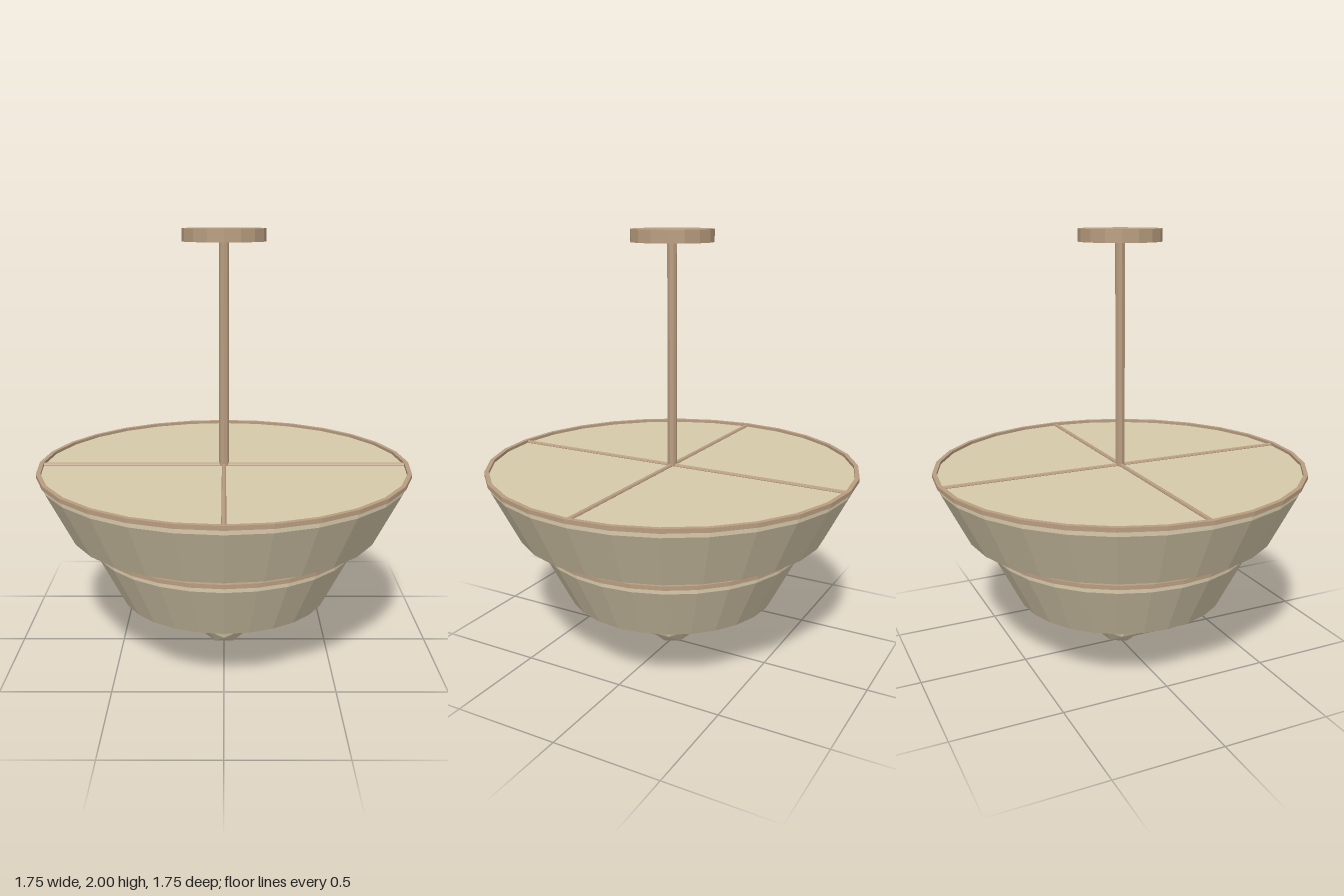
import * as THREE from 'three';

const SIDES = 28;

export function createModel() {
  const model = new THREE.Group();
  model.name = 'pendantLamp';

  const glass = new THREE.MeshStandardMaterial({ color: 0xd6c9ab });
  glass.name = 'cream glass';
  const bronze = new THREE.MeshStandardMaterial({ color: 0xb89d7f });
  bronze.name = 'light bronze';

  // Adds a faceted part
  function add(name, geometry, material, parent = model) {
    const flat = geometry.index ? geometry.toNonIndexed() : geometry;
    flat.computeVertexNormals();
    const mesh = new THREE.Mesh(flat, material);
    mesh.name = name;
    parent.add(mesh);
    return mesh;
  }

  const lathe = (points) =>
    new THREE.LatheGeometry(points.map(([r, y]) => new THREE.Vector2(r, y)), SIDES);

  // Thin rod between two points
  function rod(name, a, b, radius, parent) {
    const from = new THREE.Vector3(...a);
    const dir = new THREE.Vector3(...b).sub(from);
    const mesh = add(name, new THREE.CylinderGeometry(radius, radius, dir.length(), 8), bronze, parent);
    mesh.position.copy(from).addScaledVector(dir, 0.5);
    mesh.quaternion.setFromUnitVectors(new THREE.Vector3(0, 1, 0), dir.normalize());
  }

  // Tapered closed shade with a short upright lip, a metal rim and crossed bars
  function shade(name, rBottom, rTop, yBottom) {
    const tier = new THREE.Group();
    tier.name = name;
    model.add(tier);
    const yLip = yBottom + 0.252;
    const yTop = yBottom + 0.28;
    add('shadeBowl', lathe([[0, yBottom], [rBottom, yBottom], [rTop, yLip], [rTop, yTop], [0, yTop]]), glass, tier);

    const inner = rTop - 0.007, outer = rTop + 0.013;
    const low = yTop - 0.005, high = yTop + 0.014;
    add('rim', lathe([[inner, low], [outer, low], [outer, high], [inner, high], [inner, low]]), bronze, tier);

    rod('crossBarX', [-inner, yTop + 0.002, 0], [inner, yTop + 0.002, 0], 0.01, tier);
    rod('crossBarZ', [0, yTop + 0.002, -inner], [0, yTop + 0.002, inner], 0.01, tier);
  }

  shade('upperShade', 0.735, 0.86, 0.63);
  shade('lowerShade', 0.498, 0.625, 0.285);

  // Slanted struts carrying the lower shade
  for (let i = 0; i < 4; i++) {
    const s = Math.sin(i * Math.PI / 2), c = Math.cos(i * Math.PI / 2);
    rod('strut', [0.62 * s, 0.572, 0.62 * c], [0.42 * s, 0.665, 0.42 * c], 0.009, model);
  }

  // Ceiling canopy and stem
  add('canopy', new THREE.CylinderGeometry(0.188, 0.188, 0.057, 16), bronze).position.y = 1.9715;
  rod('stem', [0, 0.9, 0], [0, 1.95, 0], 0.023, model);

  // Faceted ball finial
  add('finial', new THREE.IcosahedronGeometry(0.141, 1), glass).position.y = 0.143;

  return model;
}
